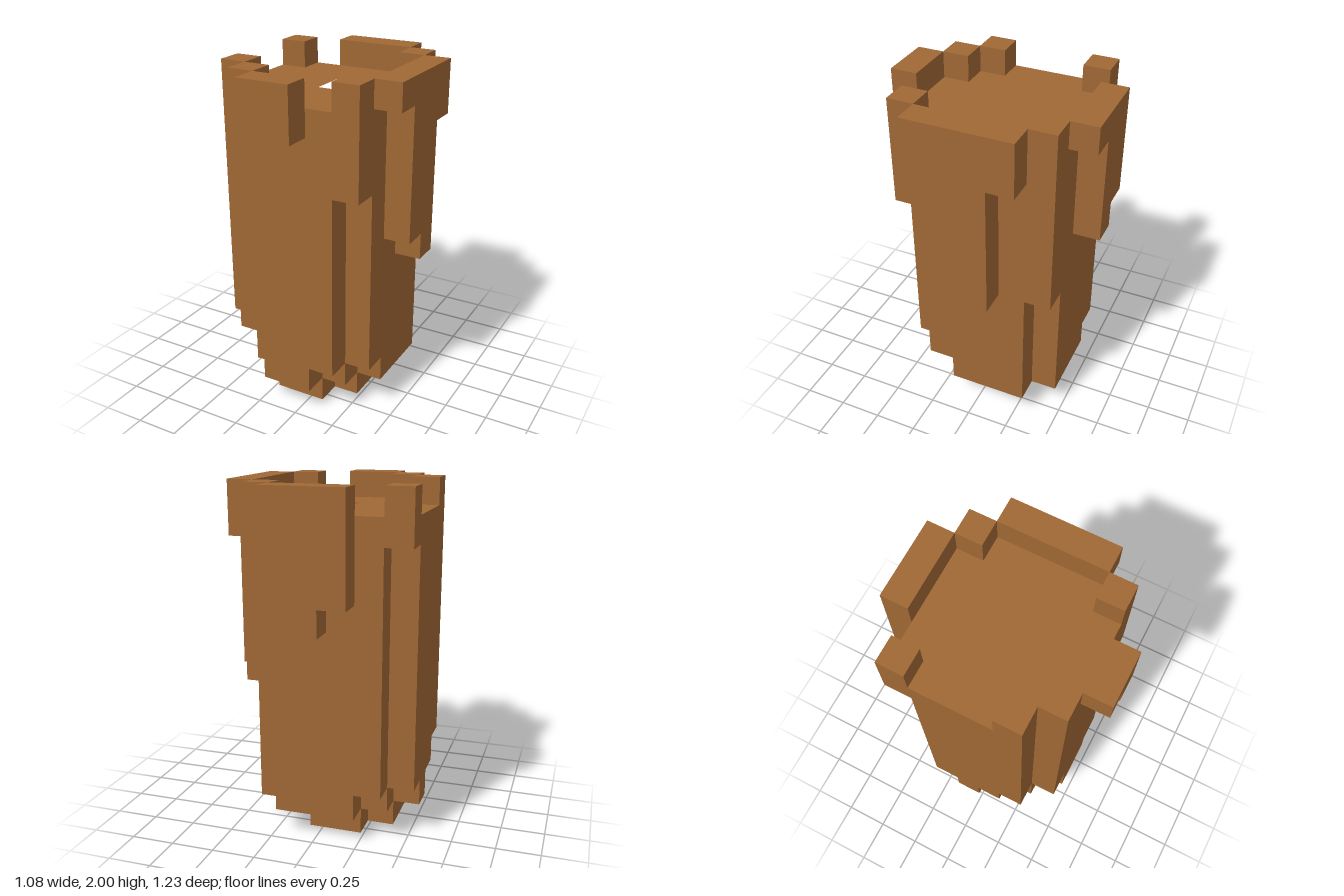
import * as THREE from 'three';

const U = 2 / 13; // one block
const X = (c) => (c - 3.5) * U;
const Z = (r) => (r - 4) * U;

export function createModel() {
  const model = new THREE.Group();
  model.name = 'blockPillar';
  const brown = new THREE.MeshStandardMaterial({ color: 0xa06835 });
  brown.name = 'brown';

  const add = (name, geometry) => {
    const mesh = new THREE.Mesh(geometry, brown);
    mesh.name = name;
    model.add(mesh);
    return mesh;
  };

  // Extrudes a plan outline of [column, row] corners between two block heights
  const layer = (name, outline, y0, y1, hole) => {
    const toPoints = (pts) => pts.map(([c, r]) => new THREE.Vector2(X(c), -Z(r)));
    const shape = new THREE.Shape(toPoints(outline));
    if (hole) shape.holes.push(new THREE.Path(toPoints(hole)));
    const geo = new THREE.ExtrudeGeometry(shape, { depth: (y1 - y0) * U, bevelEnabled: false });
    geo.rotateX(-Math.PI / 2);
    geo.translate(0, y0 * U, 0);
    add(name, geo);
  };

  // Box spanning columns c0..c1, rows r0..r1 and heights y0..y1
  const block = (name, c0, c1, r0, r1, y0, y1) => {
    const geo = new THREE.BoxGeometry((c1 - c0) * U, (y1 - y0) * U, (r1 - r0) * U);
    add(name, geo).position.set(X((c0 + c1) / 2), ((y0 + y1) / 2) * U, Z((r0 + r1) / 2));
  };

  // Stepped foot
  layer('foot', [[2, 2], [4, 2], [4, 3], [5, 3], [5, 5], [4, 5], [4, 6], [2, 6],
    [2, 5], [1, 5], [1, 3], [2, 3]], 0, 1);
  layer('lowerStep', [[2, 1], [5, 1], [5, 2], [6, 2], [6, 5], [5, 5], [5, 6], [4, 6], [4, 7],
    [2, 7], [2, 6], [1, 6], [1, 4], [0, 4], [0, 3], [1, 3], [1, 2], [2, 2]], 1, 2);
  layer('upperStep', [[1, 1], [5, 1], [5, 2], [6, 2], [6, 6], [5, 6], [5, 7], [2, 7],
    [2, 6], [1, 6], [1, 5], [0, 5], [0, 2], [1, 2]], 2, 3);

  // Main body, with a slot in its top
  const body = [[1, 1], [5, 1], [5, 2], [6, 2], [6, 6], [5, 6], [5, 7], [1, 7],
    [1, 6], [0, 6], [0, 2], [1, 2]];
  layer('body', body, 3, 11);
  layer('bodyTop', body, 11, 12, [[3, 3], [4, 3], [4, 5], [3, 5]]);

  // Corner posts rising above the top
  block('frontLeftPost', 5, 6, 6, 7, 9, 13);
  block('backLeftPost', 5, 6, 1, 2, 6, 13);
  block('backRightPost', 0, 1, 1, 2, 11, 13);
  block('rightSideStud', 0, 1, 5, 6, 12, 13);
  block('frontRightStud', 1, 2, 6, 7, 12, 13);

  // Drips hanging from the rim, given by the bottom height of each column
  [12, 11].forEach((y, i) => block('frontDrip', 2 + i, 3 + i, 7, 8, y, 13));
  [9, 8, 12].forEach((y, i) => block('backDrip', 2 + i, 3 + i, 0, 1, y, 13));
  [11, 6, 7, 12].forEach((y, i) => block('leftDrip', 6, 7, 2 + i, 3 + i, y, 13));

  return model;
}
